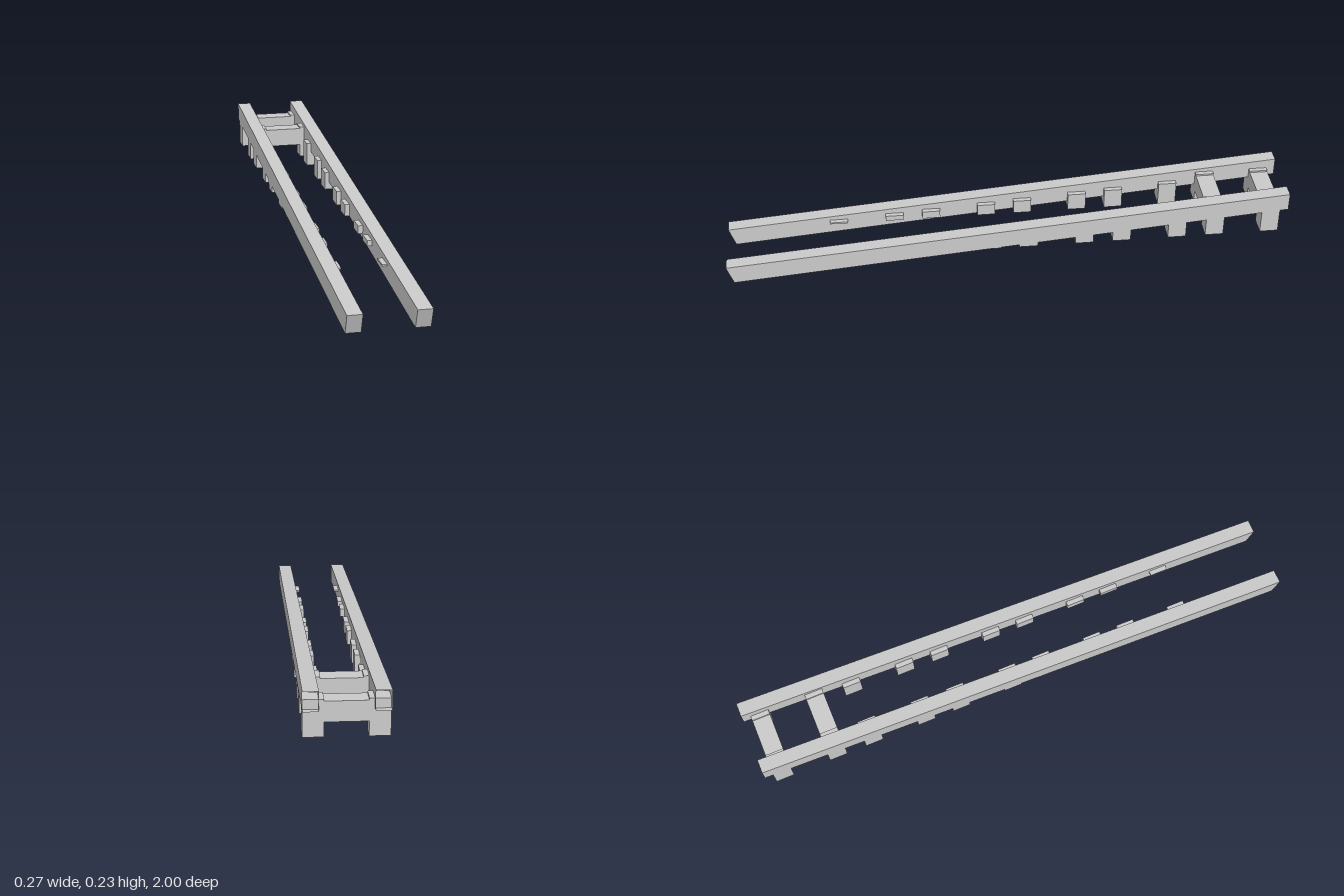
import * as THREE from 'three';

const material = new THREE.MeshStandardMaterial({ color: 0xcccccc, flatShading: true, side: THREE.DoubleSide });

// Box given by its lower and upper limits on each axis
function block(name, x0, x1, y0, y1, z0, z1) {
  const mesh = new THREE.Mesh(new THREE.BoxGeometry(x1 - x0, y1 - y0, z1 - z0), material);
  mesh.position.set((x0 + x1) / 2, (y0 + y1) / 2, (z0 + z1) / 2);
  mesh.name = name;
  return mesh;
}

// Sloping hollow rail: square front end, upright open rear end
function rail(x0, x1) {
  const section = (yTop, zTop, yBottom, zBottom) => [
    [x0, yBottom, zBottom], [x1, yBottom, zBottom], [x1, yTop, zTop], [x0, yTop, zTop],
  ];
  const front = section(0.067, 1, 0, 0.977);
  const back = section(0.234, -1, 0.169, -1);
  const positions = [];
  const quad = (a, b, c, d) => positions.push(...a, ...b, ...c, ...a, ...c, ...d);
  quad(...front);
  for (let i = 0; i < 4; i++) {
    const j = (i + 1) % 4;
    quad(front[j], front[i], back[i], back[j]);
  }
  const geometry = new THREE.BufferGeometry();
  geometry.setAttribute('position', new THREE.Float32BufferAttribute(positions, 3));
  geometry.computeVertexNormals();
  return new THREE.Mesh(geometry, material);
}

export function createModel() {
  const model = new THREE.Group();
  model.name = 'ramp';
  const half = 0.0325;
  const beamCentres = [-0.938, -0.738];
  const postCentres = [-0.602, -0.402, -0.268, -0.068, 0.064, 0.265, 0.398, 0.6];

  for (const side of [-1, 1]) {
    const label = side > 0 ? 'left' : 'right';
    const span = (a, b) => (side > 0 ? [a, b] : [-b, -a]);

    const beam = rail(...span(0.085, 0.135));
    beam.name = label + 'Rail';
    model.add(beam);

    // Support posts set into the rail, tops falling with the slope
    for (const z of postCentres) {
      const top = 0.124 - 0.068 * z;
      model.add(block(label + 'Post', ...span(0.068, 0.1345), 0.077, top, z - half, z + half));
    }
    // Taller posts under the cross beams
    for (const z of beamCentres) {
      model.add(block(label + 'EndPost', ...span(0.068, 0.1345), 0.077, 0.198, z - half, z + half));
    }
  }

  // Cross beams joining the rails at the high end
  for (const z of beamCentres) {
    model.add(block('crossBeam', -0.085, 0.085, 0.125, 0.192, z - half, z + half));
  }
  return model;
}
